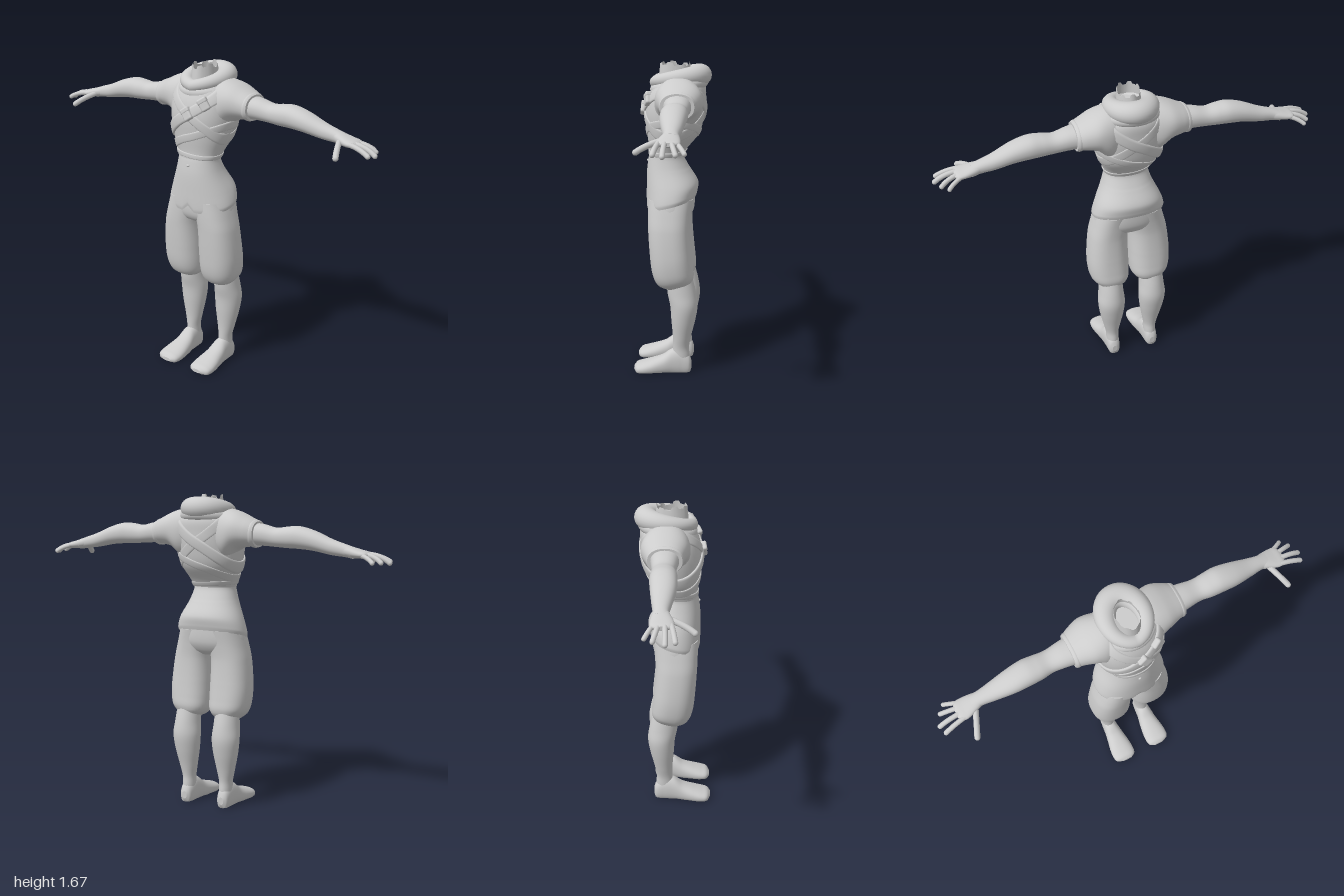
import * as THREE from 'three';
import { RoundedBoxGeometry } from 'three/addons/geometries/RoundedBoxGeometry.js';

const clothGrey = new THREE.MeshStandardMaterial({ color: 0xcccccc, side: THREE.DoubleSide });
clothGrey.name = 'plain grey';
const TAU = Math.PI * 2;

// Smooth interpolation through rows of numbers; row[0] is the position along the part
function sample(rows, t) {
  let i = 0;
  while (i < rows.length - 2 && t > rows[i + 1][0]) i++;
  const a = rows[i], b = rows[i + 1], p = rows[i - 1] || a, n = rows[i + 2] || b;
  const h = b[0] - a[0], f = Math.min(1, Math.max(0, (t - a[0]) / h));
  return a.map((_, k) => {
    if (k === 0) return t;
    const ma = (b[k] - p[k]) / (b[0] - p[0]) * h, mb = (n[k] - a[k]) / (n[0] - a[0]) * h;
    const f2 = f * f, f3 = f2 * f;
    return (2 * f3 - 3 * f2 + 1) * a[k] + (f3 - 2 * f2 + f) * ma + (3 * f2 - 2 * f3) * b[k] + (f3 - f2) * mb;
  });
}

// Grid surface, round in v and optionally round in u; faces are turned outward
function surface(fn, nu, nv, closedU) {
  const pos = [], idx = [], rows = closedU ? nu : nu + 1;
  for (let i = 0; i < rows; i++) for (let j = 0; j < nv; j++) pos.push(...fn(i / nu, j / nv * TAU, i));
  for (let i = 0; i < nu; i++) for (let j = 0; j < nv; j++) {
    const r = (i + 1) % rows, k = (j + 1) % nv;
    const a = i * nv + j, b = i * nv + k, c = r * nv + k, d = r * nv + j;
    idx.push(a, b, c, a, c, d);
  }
  const v = (i) => new THREE.Vector3(pos[3 * i], pos[3 * i + 1], pos[3 * i + 2]);
  let volume = 0;
  for (let i = 0; i < idx.length; i += 3) volume += v(idx[i]).dot(v(idx[i + 1]).cross(v(idx[i + 2])));
  if (volume < 0) idx.reverse();
  const g = new THREE.BufferGeometry();
  g.setAttribute('position', new THREE.Float32BufferAttribute(pos, 3));
  g.setIndex(idx);
  g.computeVertexNormals();
  return g;
}

const power = (v, e) => Math.sign(v) * Math.pow(Math.abs(v), 2 / e);

// Point on a rounded cross-section: row = [t, aMin, aMax, bMin, bMax]
function sectionPoint(r, angle, e, grow = 0) {
  return [(r[1] + r[2]) / 2 + ((r[2] - r[1]) / 2 + grow) * power(Math.cos(angle), e),
    (r[3] + r[4]) / 2 + ((r[4] - r[3]) / 2 + grow) * power(Math.sin(angle), e)];
}

// Capped loft along an axis, with optional mirroring and a bending rule
function loft(axis, rows, { side = 1, e = 2.2, warp = null, steps = 40, nv = 40 } = {}) {
  const t0 = rows[0][0], t1 = rows[rows.length - 1][0], n = steps + 4;
  return surface((_, angle, i) => {
    const t = t0 + (t1 - t0) * Math.min(1, Math.max(0, (i - 2) / steps));
    const r = sample(rows, t);
    let [a, b] = sectionPoint(r, angle, e);
    if (i === 0 || i === n) { a = (r[1] + r[2]) / 2; b = (r[3] + r[4]) / 2; }
    const p = axis === 'y' ? [a, t, b] : axis === 'x' ? [t, a, b] : [a, b, t];
    if (warp) warp(p);
    p[0] *= side;
    return p;
  }, n, nv, false);
}

// Upper body rows: y, x range, z range
const chest = [[1.185, .118, -.055, .128], [1.22, .13, -.075, .128], [1.3, .163, -.137, .138],
  [1.4, .18, -.163, .147], [1.48, .18, -.17, .135], [1.54, .162, -.168, .11], [1.59, .115, -.14, .08]]
  .map(([y, x, b, f]) => [y, -x, x, b, f]);

const skirt = [[.905, .193, -.122, .137], [.925, .196, -.128, .141], [1, .176, -.132, .142],
  [1.1, .137, -.092, .14], [1.17, .116, -.056, .131], [1.2, .114, -.05, .124]]
  .map(([y, x, b, f]) => [y, -x, x, b, f]);

// Band wrapped round the chest; heightAt gives its middle, lift its thickness
function band(heightAt, width, lift) {
  return surface((u, v) => {
    const a = u * TAU, x0 = .17 * Math.cos(a);
    const y = heightAt(x0) + width * power(Math.cos(v), 4);
    const grow = lift(Math.sin(a)) * power(Math.sin(v), 3);
    const [x, z] = sectionPoint(sample(chest, y), a, 2.2, grow);
    return [x, y, z];
  }, 96, 16, true);
}

export function createModel() {
  const model = new THREE.Group();
  const add = (name, geometry, parent = model) => {
    const mesh = new THREE.Mesh(geometry, clothGrey);
    mesh.name = name;
    parent.add(mesh);
    return mesh;
  };

  // Jacket: chest, flared skirt with notched sloping hem, waist seam
  add('jacketChest', loft('y', chest));
  add('jacketSkirt', loft('y', skirt, { nv: 72, warp: (p) => {
    const low = Math.max(0, Math.min(1, (1.12 - p[1]) / .2));
    p[1] += low * (.028 - .26 * p[2]);
    if (p[2] > 0) p[1] += low * low * .035 * Math.max(0, 1 - Math.abs(p[0]) / .04);
  } }));
  add('waistSeam', band((x) => 1.203 - .05 * x, .012, () => .005));
  const button = add('button', new THREE.SphereGeometry(.01, 16, 10));
  button.position.set(0, 1.15, .134);
  button.scale.set(1, .7, .7);

  // Crossed chest straps and the front lapel fold
  add('shoulderStrap', band((x) => 1.42 + .75 * x, .034, () => .011));
  add('lapelFold', band((x) => 1.43 - .8 * x, .03, (s) => (s > 0 ? .007 * Math.min(1, s * 3) : -.004)));
  add('sash', band((x) => 1.30 + .4 * x, .022, () => .006));
  for (const [x, y, z, turn] of [[.012, 1.43, .155, .05], [.098, 1.487, .125, .35]]) {
    const pouch = new THREE.Group();
    pouch.name = 'pouch';
    pouch.position.set(x, y, z);
    pouch.rotation.set(-.15, turn, .62);
    add('pouchBody', new RoundedBoxGeometry(.05, .068, .03, 3, .01), pouch);
    add('pouchFlap', new RoundedBoxGeometry(.054, .03, .034, 3, .01), pouch).position.y = .02;
    model.add(pouch);
  }

  // Rolled hood, thick and high at the back, thin and low at the front
  const hoodRoll = (size, lift) => surface((u, v) => {
    const a = u * TAU, back = (1 + Math.cos(a)) / 2;
    const r = (.034 + .026 * back) * size, ring = Math.cos(v) * r;
    return [(.092 + ring) * Math.sin(a), 1.562 + .04 * Math.sqrt(back) + lift + Math.sin(v) * r * .95,
      -.025 - (.115 + ring) * Math.cos(a)];
  }, 64, 24, true);
  add('hood', hoodRoll(1, 0));
  add('collar', surface((u, v) => {
    const a = u * TAU, ring = Math.cos(v) * .04;
    return [(.115 + ring) * Math.sin(a), 1.548 - .02 * Math.cos(a + Math.PI) + Math.sin(v) * .035,
      -.03 - (.112 + ring) * Math.cos(a)];
  }, 64, 20, true));

  // Open neck with a ragged rim
  add('neck', surface((u, a) => {
    const rag = .014 * (Math.sin(a * 7) > 0 ? 1 : 0) + .006 * Math.sin(a * 3);
    return [(.064 - .008 * u) * Math.cos(a), 1.56 + u * (.092 + rag), -.008 + (.088 - .01 * u) * Math.sin(a)];
  }, 8, 56, false));

  // Shorts seat
  add('shortsSeat', loft('y', [[.825, -.1, .1, -.06, .07], [.85, -.17, .17, -.09, .11],
    [.9, -.188, .188, -.112, .128], [1, -.16, .16, -.115, .128]]));

  for (const side of [1, -1]) {
    const limb = new THREE.Group();
    limb.name = side > 0 ? 'leftLimbs' : 'rightLimbs';
    model.add(limb);

    // Sleeve and bare arm
    add('sleeve', loft('x', [[.06, 1.36, 1.6, -.13, .06], [.13, 1.34, 1.598, -.158, .085],
      [.19, 1.39, 1.582, -.162, .078], [.25, 1.405, 1.555, -.145, .058], [.293, 1.405, 1.535, -.125, .045]], { side }));
    add('sleeveCuff', loft('x', [[.272, 1.402, 1.541, -.132, .05], [.283, 1.4, 1.542, -.133, .051],
      [.296, 1.404, 1.535, -.127, .045]], { side, steps: 10 }));
    add('arm', loft('x', [[.26, 1.412, 1.53, -.115, .035], [.33, 1.412, 1.52, -.108, .022],
      [.4, 1.408, 1.505, -.102, .012], [.46, 1.404, 1.512, -.106, .02], [.52, 1.402, 1.515, -.11, .022],
      [.6, 1.395, 1.495, -.105, .018], [.7, 1.377, 1.455, -.095, -.002], [.77, 1.37, 1.433, -.088, -.014],
      [.81, 1.363, 1.42, -.094, -.008]], { side, steps: 60 }));

    // Hand: palm and five curved digits
    add('palm', loft('x', [[.76, 1.375, 1.43, -.085, -.018], [.8, 1.368, 1.422, -.094, -.004],
      [.85, 1.365, 1.408, -.1, .01], [.88, 1.368, 1.4, -.096, .006], [.895, 1.376, 1.392, -.075, -.015]], { side }));
    const digits = [
      ['indexFinger', [.86, 1.386, -.004], [.925, 1.382, .006], [.975, 1.352, .014], .0125],
      ['middleFinger', [.865, 1.387, -.032], [.94, 1.385, -.03], [.988, 1.347, -.03], .0125],
      ['ringFinger', [.865, 1.386, -.06], [.925, 1.383, -.07], [.963, 1.35, -.085], .012],
      ['littleFinger', [.85, 1.384, -.08], [.9, 1.378, -.1], [.932, 1.35, -.122], .011],
      ['thumb', [.8, 1.39, -.025], [.83, 1.375, .05], [.855, 1.342, .1], .0145]];
    for (const [name, a, b, c, r] of digits) {
      const [p, q, s] = [a, b, c].map((k) => new THREE.Vector3(k[0] * side, k[1], k[2]));
      add(name, new THREE.TubeGeometry(new THREE.QuadraticBezierCurve3(p, q, s), 12, r, 12), limb);
      add(name + 'Tip', new THREE.SphereGeometry(r, 12, 10), limb).position.copy(s);
    }

    // Baggy short leg gathered below the knee, hem rising to the back
    add('shortsLeg', loft('y', [[.468, .055, .165, -.1, .015], [.485, .03, .188, -.112, .045],
      [.515, .013, .213, -.118, .078], [.57, .007, .227, -.114, .102], [.66, .007, .23, -.106, .115],
      [.8, .008, .215, -.096, .125], [.88, -.004, .195, -.1, .128], [.96, -.01, .172, -.11, .128]],
    { side, e: 2.4, steps: 60, warp: (p) => {
      const low = Math.max(0, Math.min(1, (.7 - p[1]) / .2));
      p[1] += low * (.005 - .25 * p[2]);
    } }), limb);

    // Calf and ankle
    add('calf', loft('y', [[.04, .078, .148, -.1, .0], [.1, .078, .148, -.097, -.004], [.14, .078, .15, -.094, -.006],
      [.2, .067, .164, -.104, -.006], [.3, .05, .186, -.128, .002], [.38, .044, .195, -.14, .008],
      [.45, .05, .188, -.132, .022], [.54, .055, .18, -.11, .03]], { side, e: 2 }), limb);

    // Foot with a flat sole and rounded toe
    add('foot', loft('z', [[-.108, .1, .128, .02, .06], [-.098, .085, .143, -.01, .09], [-.05, .074, .152, -.02, .13],
      [0, .068, .158, -.02, .125], [.05, .058, .166, -.02, .09], [.11, .048, .178, -.02, .066],
      [.16, .046, .181, -.018, .05], [.19, .055, .17, -.012, .04], [.205, .08, .135, .004, .024]],
    { side, steps: 48, warp: (p) => { p[1] = Math.max(0, p[1]); } }), limb);
  }
  return model;
}
